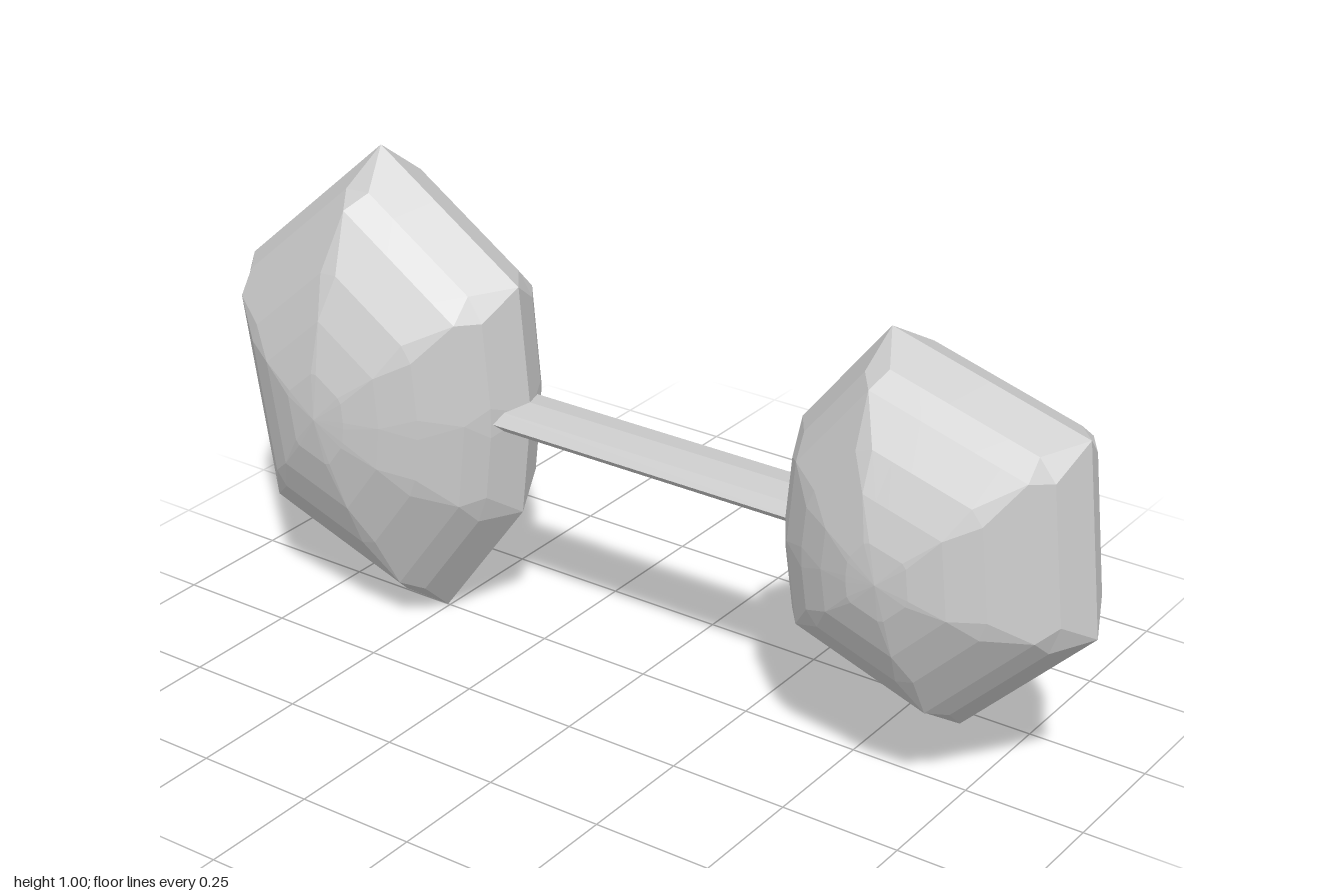
import * as THREE from 'three';

const material = new THREE.MeshStandardMaterial({ color: 0xcccccc, flatShading: true });

// Inflation profile: [scale of outline, share of full half depth]
const PROFILE = [[1, 0], [0.9, 0.31], [0.8, 0.48], [0.6, 0.71], [0.4, 0.86], [0.2, 0.96], [0, 1]];

// Split every outline edge into short steps, keeping the corners
function resample(corners, step) {
  const points = [];
  corners.forEach(([x, y], i) => {
    const [x2, y2] = corners[(i + 1) % corners.length];
    const n = Math.max(2, Math.round(Math.hypot(x2 - x, y2 - y) / step));
    for (let j = 0; j < n; j++) points.push([x + (x2 - x) * j / n, y + (y2 - y) * j / n]);
  });
  return points;
}

// Pillow-shaped weight: staggered rings shrink from the outline to the middle, on both faces
function inflate(corners, [cx, cy], depth) {
  const outline = resample(corners, 0.075);
  const n = outline.length;
  const vertex = (k, i) => {
    const [s, h] = PROFILE[k];
    const p = outline[i % n], q = outline[(i + 1) % n];
    const t = k % 2 ? 0.5 : 0;
    return [cx + (p[0] + (q[0] - p[0]) * t - cx) * s, cy + (p[1] + (q[1] - p[1]) * t - cy) * s, h * depth];
  };
  const positions = [];
  const addBothSides = (a, b, c) => {
    positions.push(...a, ...b, ...c);
    for (const v of [a, c, b]) positions.push(v[0], v[1], -v[2]);
  };
  for (let k = 0; k < PROFILE.length - 1; k++) {
    const tip = k === PROFILE.length - 2;
    for (let i = 0; i < n; i++) {
      const a = vertex(k, i), a2 = vertex(k, i + 1), b = vertex(k + 1, i), b2 = vertex(k + 1, i + 1);
      if (tip) addBothSides(a, a2, b);
      else if (k % 2) {
        addBothSides(a, b2, b);
        addBothSides(a, a2, b2);
      } else {
        addBothSides(a, a2, b);
        addBothSides(b, a2, b2);
      }
    }
  }
  const geometry = new THREE.BufferGeometry();
  geometry.setAttribute('position', new THREE.Float32BufferAttribute(positions, 3));
  geometry.computeVertexNormals();
  return geometry;
}

export function createModel() {
  const group = new THREE.Group();
  const add = (name, geometry) => {
    const mesh = new THREE.Mesh(geometry, material);
    mesh.name = name;
    group.add(mesh);
    return mesh;
  };

  // Weights, outlines counter-clockwise from the top corner
  add('rightWeight', inflate(
    [[-0.64, 1], [-1, 0.685], [-0.91, 0.14], [-0.505, 0], [-0.3, 0.28], [-0.275, 0.51], [-0.3, 0.775]],
    [-0.62, 0.5], 0.263));
  add('leftWeight', inflate(
    [[0.55, 0.91], [0.365, 0.68], [0.345, 0.47], [0.375, 0.26], [0.73, 0.14], [1, 0.41], [0.96, 0.795]],
    [0.68, 0.53], 0.25));

  // Flat oval handle, running into both weights
  const handle = add('handle', new THREE.CylinderGeometry(1, 1, 0.9, 8).rotateZ(Math.PI / 2).scale(1, 0.029, 0.077));
  handle.position.set(0.035, 0.503, 0);

  return group;
}
